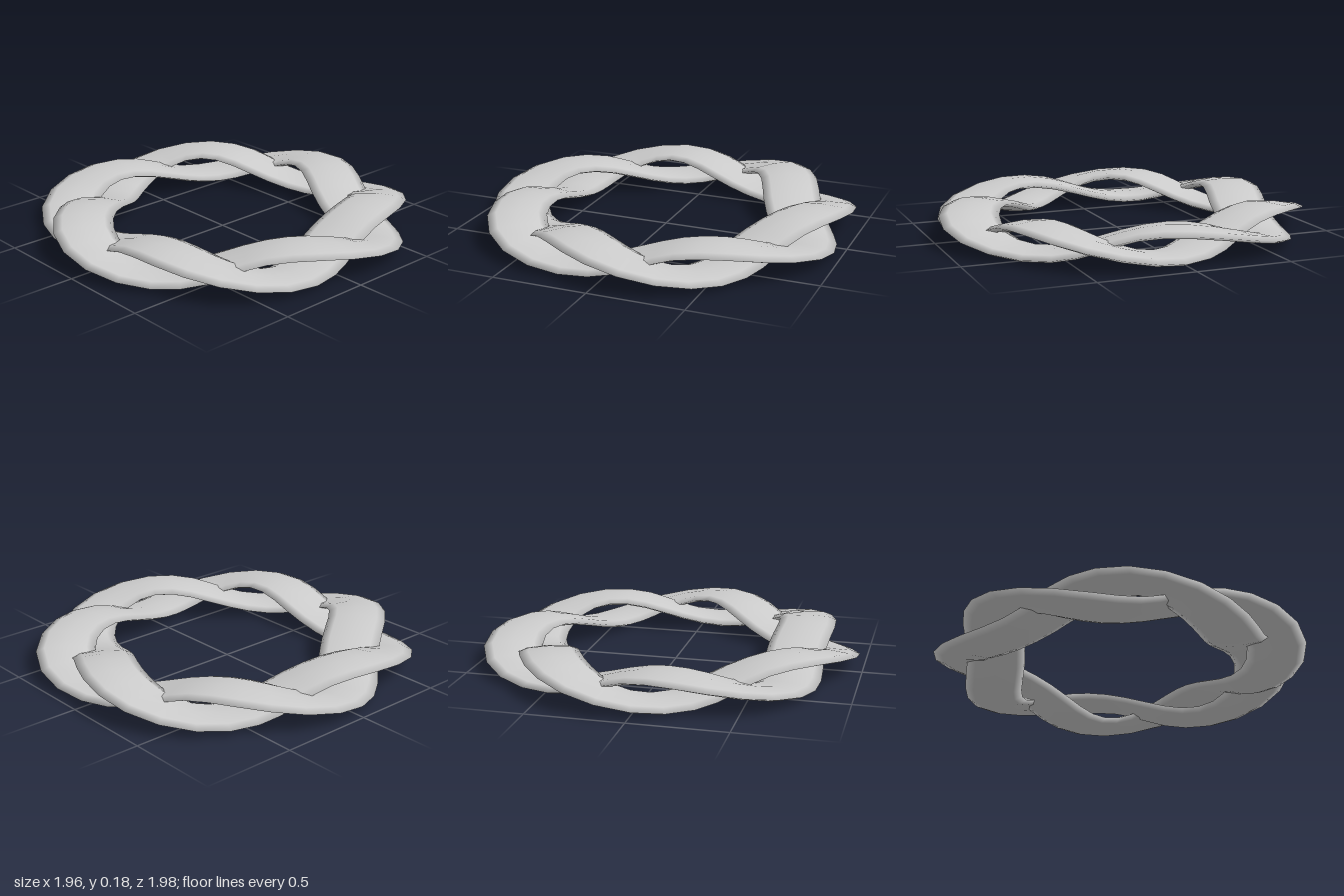
import * as THREE from 'three';

const LOBES = 7, TURNS = 2;          // the strand circles twice while weaving seven lobes
const SEGMENTS = 84, SIDES = 8;
const RING = 0.76, SWING = 0.09, RISE = 0.065; // centre line
const HALF_WIDTH = 0.155, HALF_HEIGHT = 0.026; // flattened oval section
const OFFSET_X = 0.02, OFFSET_Y = 0.089;

// Centre line of the woven strand at turn angle t
function centreLine(t) {
  const phase = t * LOBES / TURNS;
  const radius = RING + SWING * Math.cos(phase);
  return new THREE.Vector3(
    -radius * Math.cos(t), RISE * Math.sin(phase), -radius * Math.sin(t));
}

function strandGeometry() {
  const positions = [], indices = [];
  for (let i = 0; i < SEGMENTS; i++) {
    const t = (i + 0.5) / SEGMENTS * TURNS * Math.PI * 2;
    const p = centreLine(t);
    const tangent = centreLine(t + 0.001).sub(centreLine(t - 0.001));
    // level direction pointing outwards, square to the strand
    const out = new THREE.Vector3(-tangent.z, 0, tangent.x).normalize();
    if (out.x * p.x + out.z * p.z < 0) out.negate();
    for (let j = 0; j < SIDES; j++) {
      const a = j / SIDES * Math.PI * 2;
      const w = HALF_WIDTH * Math.cos(a), h = HALF_HEIGHT * Math.sin(a);
      positions.push(p.x + out.x * w, p.y + h, p.z + out.z * w);
      const next = (i + 1) % SEGMENTS, k = (j + 1) % SIDES;
      const A = i * SIDES + j, B = next * SIDES + j;
      const C = next * SIDES + k, D = i * SIDES + k;
      indices.push(A, D, B, B, D, C);
    }
  }
  const g = new THREE.BufferGeometry();
  g.setAttribute('position', new THREE.Float32BufferAttribute(positions, 3));
  g.setIndex(indices);
  g.computeVertexNormals();
  return g;
}

export function createModel() {
  const group = new THREE.Group();
  group.name = 'wovenRing';
  const strand = new THREE.Mesh(
    strandGeometry(),
    new THREE.MeshStandardMaterial({ color: 0xcccccc, side: THREE.DoubleSide }));
  strand.name = 'wovenStrand';
  strand.position.set(OFFSET_X, OFFSET_Y, 0);
  group.add(strand);
  return group;
}
